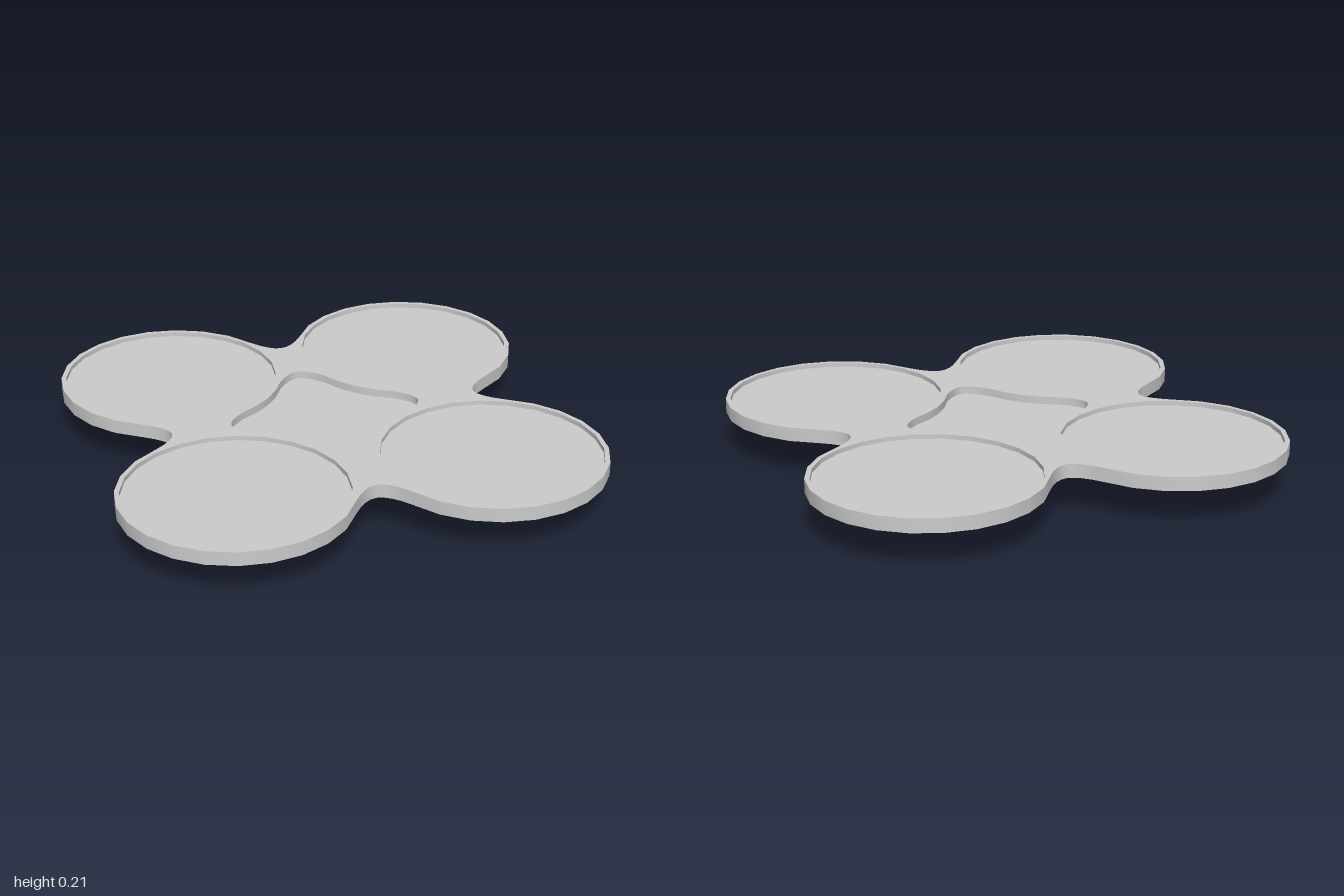
import * as THREE from 'three';
import { toCreasedNormals } from 'three/addons/utils/BufferGeometryUtils.js';

const LOBE = 0.53;        // lobe centre offset on both axes
const BOTTOM = 0.153;     // underside of the tray
const TOP = 0.211;        // rim of the tray
const rad = THREE.MathUtils.degToRad;
const v = (x, y) => new THREE.Vector2(x, y);

// Points along an arc, angles in degrees
function arc(cx, cy, r, from, to, n) {
  return Array.from({ length: n + 1 }, (_, i) => {
    const a = rad(from + ((to - from) * i) / n);
    return v(cx + r * Math.cos(a), cy + r * Math.sin(a));
  });
}

// Repeat one quarter of a closed outline four times round the origin
function fourFold(quarter) {
  const points = [];
  for (let k = 0; k < 4; k++) {
    for (const p of quarter) points.push(p.clone().rotateAround(v(0, 0), (k * Math.PI) / 2));
  }
  return points;
}

// A lobe arc followed by a rounded corner, mirrored about the axis
function quarterOutline(r, from, to, n, tip, pull) {
  const lobe = arc(LOBE, LOBE, r, from, to, n);
  const end = lobe[n];
  const corner = new THREE.QuadraticBezierCurve(end, v(pull, tip.y), v(0, tip.y)).getPoints(4).slice(1);
  const mirrored = corner.slice(0, 3).reverse().map((p) => v(-p.x, p.y));
  return [...lobe, ...corner, ...mirrored];
}

// Flat horizontal slab between two heights
function slab(points, y0, y1, holes = []) {
  const shape = new THREE.Shape(points);
  shape.holes = holes.map((h) => new THREE.Path(h));
  const geo = new THREE.ExtrudeGeometry(shape, { depth: y1 - y0, bevelEnabled: false });
  geo.rotateX(-Math.PI / 2).translate(0, y0, 0);
  return toCreasedNormals(geo, rad(35));
}

export function createModel() {
  const group = new THREE.Group();
  const material = new THREE.MeshStandardMaterial({ color: 0xcccccc });
  const add = (name, geometry) => {
    const mesh = new THREE.Mesh(geometry, material);
    mesh.name = name;
    group.add(mesh);
  };

  // Four-lobed frame with round openings and a central pocket
  const outline = fourFold(quarterOutline(0.47, -62, 152, 14, v(0, 0.655), 0.05));
  const pocket = fourFold(quarterOutline(0.475, 245, 205, 4, v(0, 0.405), 0.04));
  const circles = [];
  for (const sx of [-1, 1]) {
    for (const sy of [-1, 1]) circles.push(arc(sx * LOBE, sy * LOBE, 0.45, 0, 345, 23));
  }
  add('trayFrame', slab(outline, BOTTOM, TOP, [...circles, pocket]));
  add('pocketFloor', slab(pocket, BOTTOM, 0.178));

  // Discs set between the upper and lower rims
  circles.forEach((c, i) => add(`roundPanel${i + 1}`, slab(c, 0.174, 0.192)));

  // Hollow bar under the tray, rounded along its lower edges
  const w = 0.057, r = 0.05, holeY = 0.077;
  const profile = new THREE.Shape([
    v(-w, BOTTOM),
    ...arc(-w + r, r, r, 180, 270, 6),
    ...arc(w - r, r, r, 270, 360, 6),
    v(w, BOTTOM),
  ]);
  profile.holes.push(new THREE.Path(arc(0, holeY, 0.046, 0, 345, 23)));
  const bar = new THREE.ExtrudeGeometry(profile, { depth: 1.18, bevelEnabled: false });
  bar.rotateY(Math.PI / 2).translate(-0.58, 0, 0);
  add('bar', toCreasedNormals(bar, rad(35)));

  // Rod inside the bar: sticks out at one end, sits back at the other
  const rod = new THREE.CylinderGeometry(0.045, 0.045, 1.17, 24);
  rod.rotateZ(Math.PI / 2).translate(-0.025, holeY, 0);
  add('rod', rod);

  return group;
}
